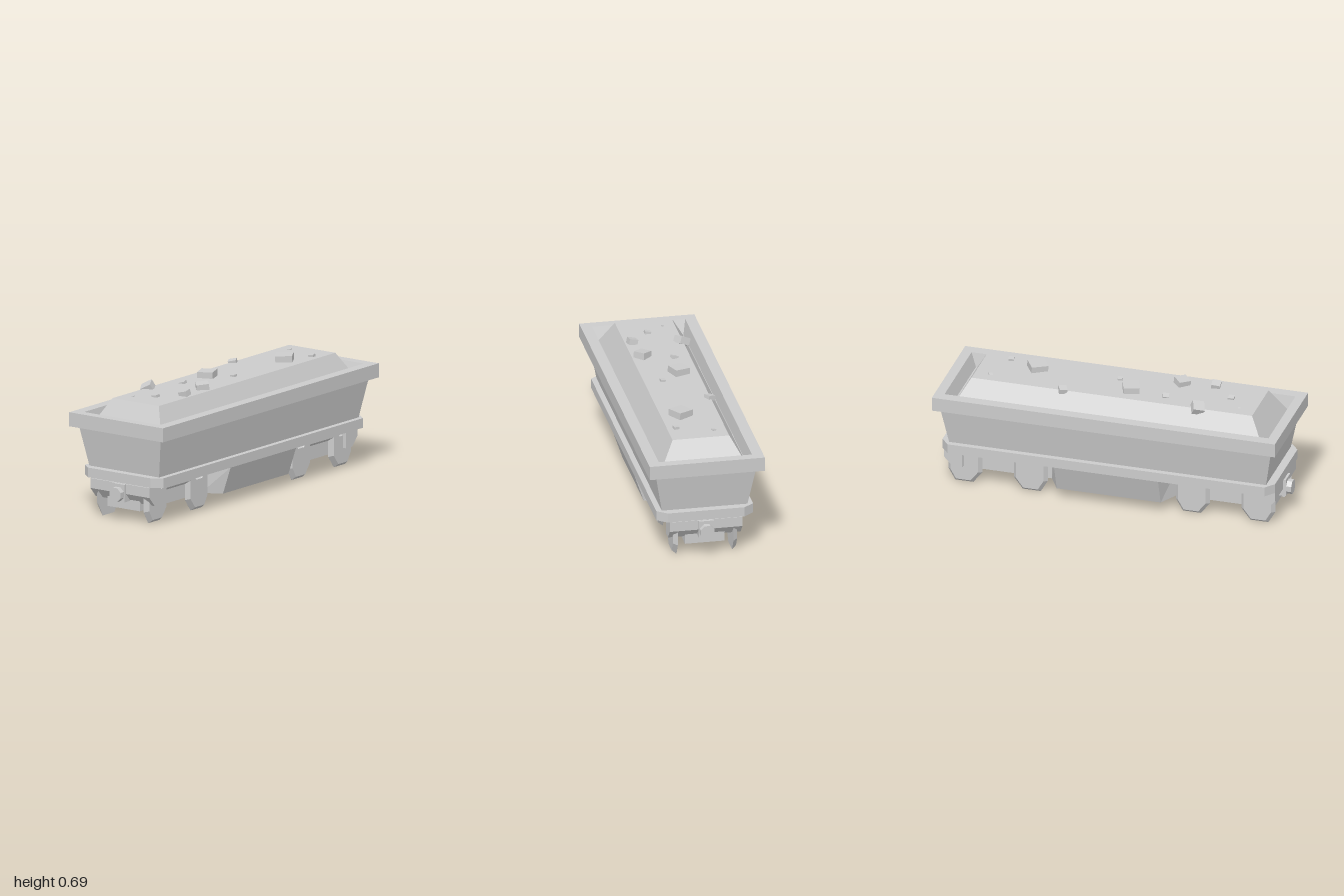
import * as THREE from 'three';

const material = new THREE.MeshStandardMaterial({ color: 0xcccccc, flatShading: true });

// Rectangle (or rectangle with cut corners) at height y, half sizes hx and hz
function ring(y, hx, hz, cx = 0, cz = 0) {
  const pts = cx
    ? [[hx, hz - cz], [hx, cz - hz], [hx - cx, -hz], [cx - hx, -hz], [-hx, cz - hz], [-hx, hz - cz], [cx - hx, hz], [hx - cx, hz]]
    : [[hx, hz], [hx, -hz], [-hx, -hz], [-hx, hz]];
  return pts.map(([x, z]) => [x, y, z]);
}

// Skin stacked rings; either cap the ends or join the last ring to the first
function loft(rings, closed = false) {
  const pos = [], n = rings[0].length;
  const tri = (a, b, c) => pos.push(...a, ...b, ...c);
  const count = closed ? rings.length : rings.length - 1;
  for (let r = 0; r < count; r++) {
    const a = rings[r], b = rings[(r + 1) % rings.length];
    for (let i = 0; i < n; i++) {
      const j = (i + 1) % n;
      tri(a[i], a[j], b[j]);
      tri(a[i], b[j], b[i]);
    }
  }
  if (!closed) {
    const a = rings[0], b = rings[rings.length - 1];
    for (let i = 1; i < n - 1; i++) {
      tri(a[0], a[i + 1], a[i]);
      tri(b[0], b[i], b[i + 1]);
    }
  }
  const g = new THREE.BufferGeometry();
  g.setAttribute('position', new THREE.Float32BufferAttribute(pos, 3));
  g.computeVertexNormals();
  return g;
}

const shapeOf = (pts) => new THREE.Shape(pts.map(([a, b]) => new THREE.Vector2(a, b)));

// Bogie side frame: two hanging axle guards, chamfered on the outer face only
function sideFrameGeometry() {
  const half = [[0.11, 0.18], [0.11, 0.075], [0.152, 0.02], [0.236, 0.02], [0.268, 0.075],
    [0.268, 0.18], [0.25, 0.2], [0.24, 0.2], [0.215, 0.175], [0.165, 0.175], [0.14, 0.2]];
  const outline = [...half, ...half.map(([z, y]) => [-z, y]).reverse()];
  const g = new THREE.ExtrudeGeometry(shapeOf(outline), {
    depth: 0.0005, bevelThickness: 0.024, bevelSize: 0.019, bevelSegments: 1,
  });
  const p = g.attributes.position;
  for (let i = 0; i < p.count; i++) p.setZ(i, Math.max(0, p.getZ(i)));
  g.computeVertexNormals();
  return g.rotateY(-Math.PI / 2);
}

export function createModel() {
  const model = new THREE.Group();
  model.name = 'hopperWagon';
  const add = (name, geometry, parent = model) => {
    const mesh = new THREE.Mesh(geometry, material);
    mesh.name = name;
    parent.add(mesh);
    return mesh;
  };

  // Tapered body, rim and load
  add('body', loft([ring(0.275, 0.242, 0.915), ring(0.5, 0.283, 0.955)]));
  add('rim', loft([ring(0.5, 0.325, 0.99), ring(0.58, 0.325, 0.99),
    ring(0.58, 0.263, 0.935), ring(0.5, 0.247, 0.905)], true));
  add('coalHeap', loft([ring(0.495, 0.247, 0.9), ring(0.65, 0.16, 0.81)]));

  // Loose lumps: x, z, size, height of top, turn, tilt
  const lumps = [
    [-0.09, -0.72, 0.022, 0.656, 0.4, 0.2], [0.11, -0.66, 0.03, 0.664, 0.2, 0.1],
    [0.05, -0.49, 0.095, 0.688, 0.55, 0.05], [-0.155, -0.285, 0.045, 0.668, 0.5, 0.2],
    [0.055, -0.015, 0.028, 0.662, 0.1, 0.1], [-0.055, 0.08, 0.09, 0.687, 0.35, 0.04],
    [-0.07, 0.285, 0.035, 0.664, 0.3, 0.3], [0.1, 0.33, 0.07, 0.686, 0.75, 0.12],
    [-0.155, 0.495, 0.065, 0.684, 0.5, 0.5], [0.12, 0.52, 0.05, 0.682, 0.15, 0.25],
    [0.01, 0.64, 0.034, 0.664, 0.05, 0.15], [-0.09, 0.715, 0.012, 0.654, 0.3, 0.2],
  ];
  const coalLumps = new THREE.Group();
  coalLumps.name = 'coalLumps';
  model.add(coalLumps);
  for (const [x, z, s, top, turn, tilt] of lumps) {
    const h = s * 0.65;
    const lump = add('coalLump', new THREE.BoxGeometry(s, h, s), coalLumps);
    lump.position.set(x, top - h / 2 - Math.sin(tilt) * s * 0.3, z);
    lump.rotation.set(tilt * 0.5, turn, tilt, 'YXZ');
  }

  // Chassis with cut corners, wide middle tank and narrow spine
  add('chassis', loft([ring(0.22, 0.273, 0.96, 0.056, 0.045), ring(0.275, 0.273, 0.96, 0.056, 0.045)]));
  add('middleUnderbody', loft([ring(0.065, 0.22, 0.36, 0.108, 0.06), ring(0.221, 0.273, 0.36, 0.161, 0.06)]));
  add('spine', new THREE.BoxGeometry(0.224, 0.155, 1.84)).position.y = 0.1425;

  // Both ends: headstock, coupler and a pair of bogie side frames
  const headstock = new THREE.ExtrudeGeometry(
    shapeOf([[0.85, 0.216], [0.85, 0.105], [0.905, 0.105], [0.955, 0.16], [0.955, 0.216]]),
    { depth: 0.41, bevelEnabled: false }).rotateY(-Math.PI / 2).translate(0.205, 0, 0);
  const buffer = new THREE.CylinderGeometry(0.042, 0.042, 0.04, 8).rotateY(Math.PI / 8).rotateX(Math.PI / 2);
  const sideFrame = sideFrameGeometry();
  for (const end of [1, -1]) {
    const group = new THREE.Group();
    group.name = end > 0 ? 'frontEnd' : 'backEnd';
    group.rotation.y = end > 0 ? 0 : Math.PI;
    model.add(group);
    add('headstock', headstock, group);
    add('couplerBox', new THREE.BoxGeometry(0.086, 0.1, 0.07), group).position.set(0, 0.165, 0.935);
    add('buffer', buffer, group).position.set(0, 0.158, 0.98);
    for (const side of [1, -1]) {
      const frame = add('bogieSideFrame', sideFrame, group);
      frame.position.set(side * 0.157, 0, 0.657);
      frame.rotation.y = side > 0 ? Math.PI : 0;
    }
  }
  return model;
}
